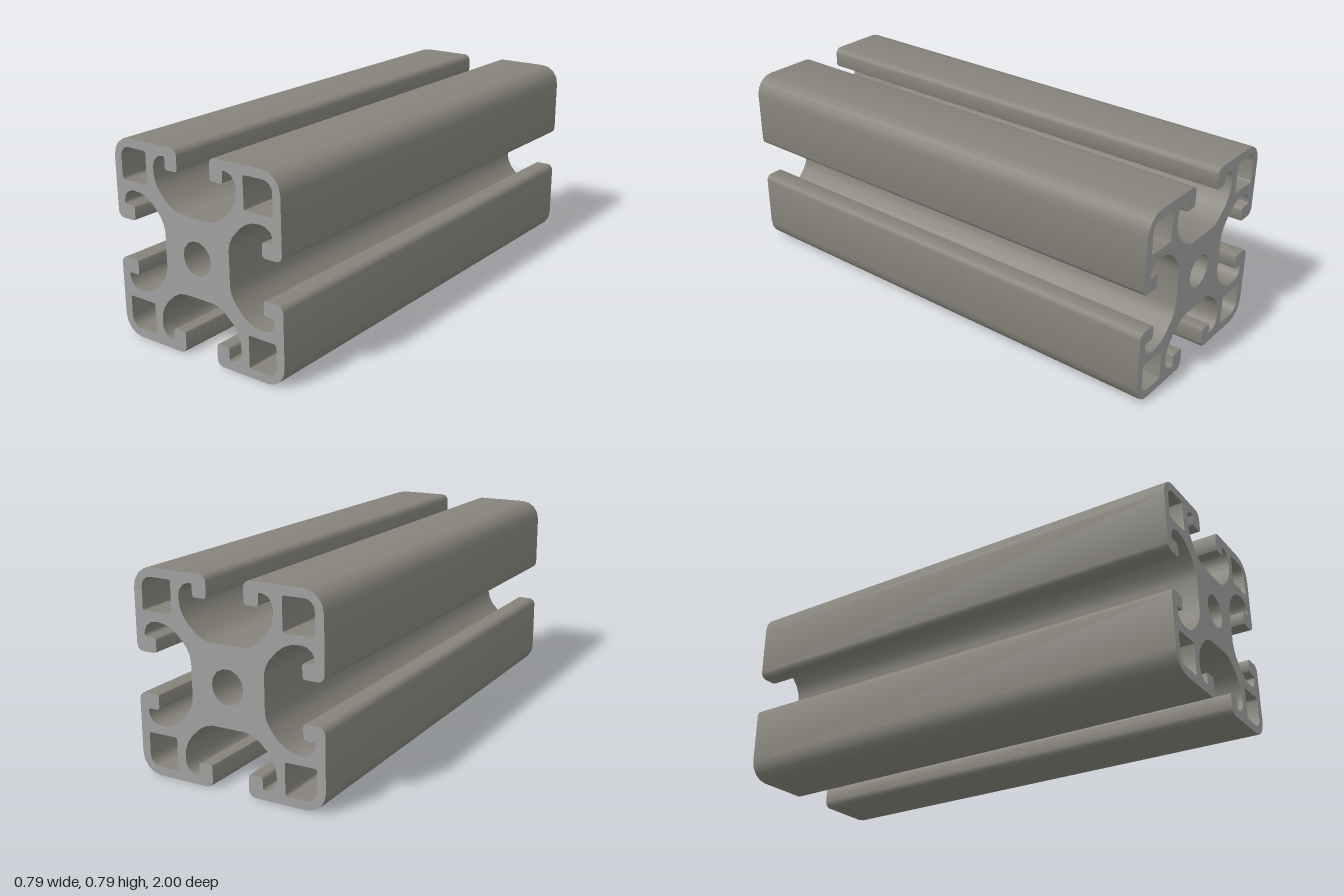
import * as THREE from 'three';
import { toCreasedNormals } from 'three/addons/utils/BufferGeometryUtils.js';

const HALF = 0.396;
const LENGTH = 2;

// Half of one quadrant: slot floor, slot wall, lip, outer face, corner diagonal
const slotToCorner = [
  [0.071, 0.1545], [0.098, 0.161], [0.124, 0.175], [0.16, 0.207], [0.183, 0.238],
  [0.195, 0.27], [0.198, 0.306], [0.194, 0.327], [0.18, 0.347], [0.165, 0.355],
  [0.147, 0.359], [0.141, 0.357], [0.138, 0.351], [0.138, 0.32], [0.135, 0.312],
  [0.128, 0.309], [0.09, 0.309], [0.082, 0.312], [0.079, 0.32], [0.079, 0.372],
  [0.082, 0.382], [0.091, 0.392], [0.103, HALF], [0.316, HALF], [0.3466, 0.39],
  [0.3726, 0.3726],
];

// Hollow corner pocket, rounder on its outer corner
const pocket = [
  [0.232, 0.242], [0.234, 0.236], [0.24, 0.234], [0.353, 0.234], [0.359, 0.236],
  [0.361, 0.242], [0.361, 0.322], [0.358, 0.337], [0.349, 0.349], [0.337, 0.358],
  [0.322, 0.361], [0.242, 0.361], [0.236, 0.359], [0.232, 0.353],
];

// Quarter turns, clockwise
const turn = ([x, y], n) => {
  for (let i = 0; i < n; i++) [x, y] = [y, -x];
  return new THREE.Vector2(x, y);
};

function profileShape() {
  // Mirror across the diagonal, then repeat around the centre
  const mirrored = slotToCorner.slice(0, -1).reverse().map(([x, y]) => [y, x]);
  const quadrant = [...slotToCorner, ...mirrored];
  const outline = [];
  const shape = new THREE.Shape();
  for (let n = 0; n < 4; n++) {
    outline.push(...quadrant.map((p) => turn(p, n)));
    shape.holes.push(new THREE.Path(pocket.map((p) => turn(p, n))));
  }
  shape.setFromPoints(outline);

  // Central bore
  const bore = [];
  const sides = 14;
  for (let i = 0; i < sides; i++) {
    const a = (i / sides) * Math.PI * 2;
    bore.push(new THREE.Vector2(0.067 * Math.cos(a), 0.067 * Math.sin(a)));
  }
  shape.holes.push(new THREE.Path(bore));
  return shape;
}

export function createModel() {
  const group = new THREE.Group();
  group.name = 'slottedRail';

  const cutEnd = new THREE.MeshStandardMaterial({ color: 0xa0a0a0 });
  cutEnd.name = 'cut end grey';
  const surface = new THREE.MeshStandardMaterial({ color: 0x85837a });
  surface.name = 'warm grey surface';

  const extruded = new THREE.ExtrudeGeometry(profileShape(), {
    depth: LENGTH, steps: 1, bevelEnabled: false,
  });
  extruded.translate(0, HALF, -LENGTH / 2);

  // Extrusion groups: end faces first, then the long sides
  const rail = new THREE.Mesh(toCreasedNormals(extruded, 0.82), [cutEnd, surface]);
  rail.name = 'extrudedRail';
  group.add(rail);
  return group;
}
